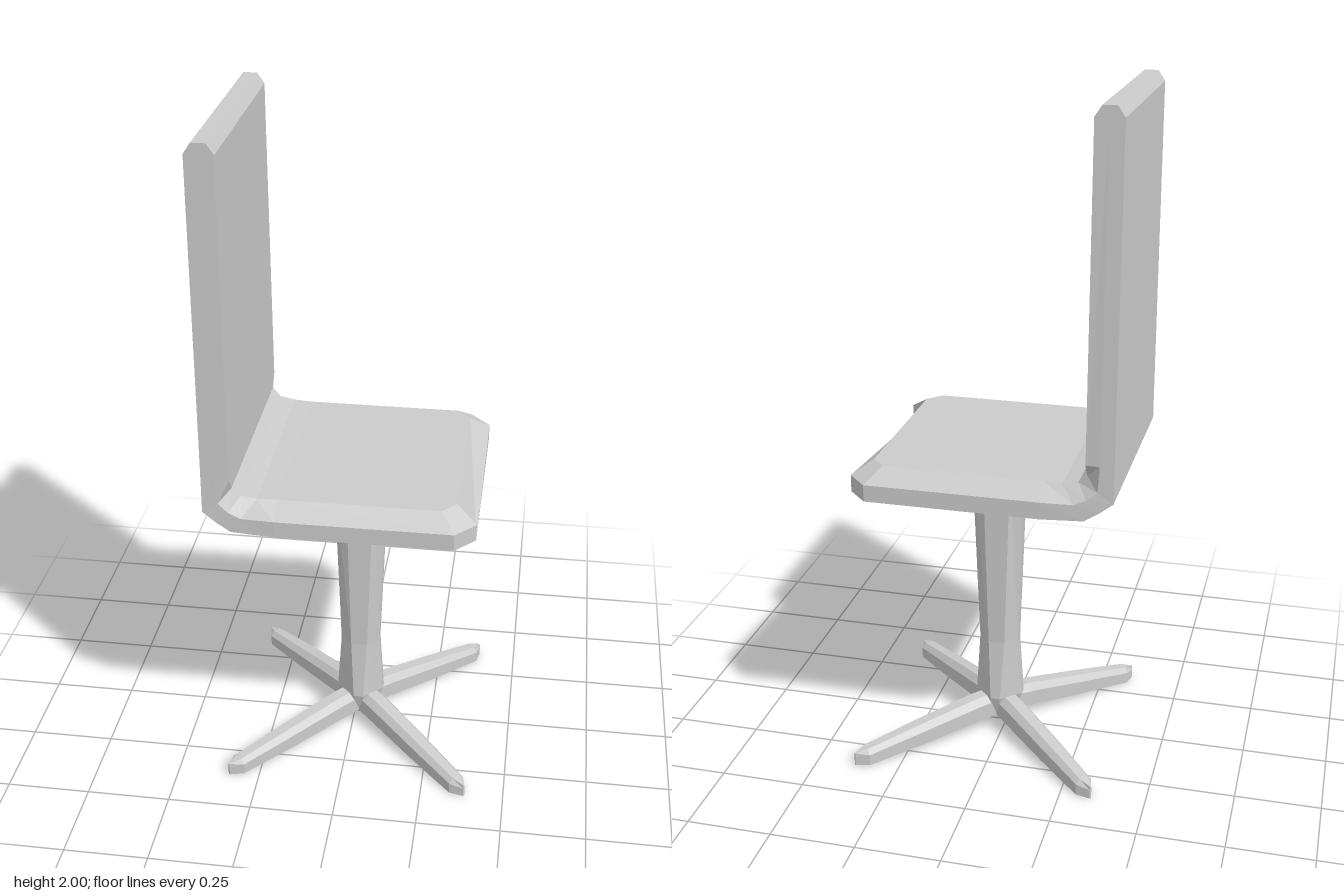
import * as THREE from 'three';

const material = new THREE.MeshStandardMaterial({ color: 0xcccccc, flatShading: true });

// Skins a row of equal-length rings of [x, y, z] points and caps both ends
function loft(name, rings) {
  const n = rings[0].length;
  const index = [];
  for (let r = 0; r < rings.length - 1; r++) {
    for (let i = 0; i < n; i++) {
      const a = r * n + i, b = r * n + (i + 1) % n;
      index.push(a, b, b + n, a, b + n, a + n);
    }
  }
  const last = (rings.length - 1) * n;
  for (let i = 1; i < n - 1; i++) {
    index.push(0, i + 1, i, last, last + i, last + i + 1);
  }
  // Turn the faces outward if the enclosed volume comes out negative
  const points = rings.flat().map((p) => new THREE.Vector3(...p));
  let volume = 0;
  for (let i = 0; i < index.length; i += 3) {
    const [a, b, c] = [points[index[i]], points[index[i + 1]], points[index[i + 2]]];
    volume += a.dot(b.clone().cross(c));
  }
  if (volume < 0) index.reverse();

  const indexed = new THREE.BufferGeometry().setFromPoints(points);
  indexed.setIndex(index);
  const geometry = indexed.toNonIndexed();
  geometry.computeVertexNormals();
  const mesh = new THREE.Mesh(geometry, material);
  mesh.name = name;
  return mesh;
}

// Seat that bends up into the backrest: one shell swept from front edge to top edge
function seatAndBackrest() {
  // outer x, y | bevel x, y | inner x, y | half width outer, inner | trim on the -z side
  const stations = [
    [0.383, 0.875, 0.383, 0.925, 0.325, 0.965, 0.30, 0.26, 0],
    [0.325, 0.875, 0.325, 0.925, 0.285, 0.965, 0.362, 0.305, 0],
    [-0.18, 0.875, -0.18, 0.925, -0.18, 0.965, 0.362, 0.305, 0],
    [-0.305, 0.88, -0.275, 0.925, -0.235, 0.966, 0.357, 0.31, 0],
    [-0.345, 0.905, -0.31, 0.94, -0.28, 0.975, 0.354, 0.312, 0],
    [-0.385, 0.935, -0.34, 0.965, -0.305, 1.0, 0.35, 0.318, 0],
    [-0.385, 1.04, -0.345, 1.04, -0.305, 1.04, 0.348, 0.346, 0],
    [-0.385, 1.97, -0.345, 1.97, -0.305, 1.97, 0.345, 0.345, 0.024],
    [-0.365, 2.0, -0.345, 2.0, -0.325, 2.0, 0.345, 0.345, 0.025],
  ];
  return loft('seatAndBackrest', stations.map(([ox, oy, mx, my, ix, iy, w, wi, trim]) => [
    [ox, oy, w], [mx, my, w], [ix, iy, wi],
    [ix, iy, -wi + trim], [mx, my, -w + trim], [ox, oy, -w + trim],
  ]));
}

// Eight-sided post whose narrow faces pinch together between the legs
function column() {
  // y, half depth x, half width z, half size of the faces toward x and z
  const levels = [
    [0.045, 0.05, 0.05, 0.01, 0.01],
    [0.11, 0.073, 0.068, 0.012, 0.015],
    [0.30, 0.06, 0.048, 0.016, 0.025],
    [0.88, 0.08, 0.045, 0.022, 0.042],
  ];
  return loft('column', levels.map(([y, hx, hz, a, b]) => [
    [hx, y, -a], [hx, y, a], [b, y, hz], [-b, y, hz],
    [-hx, y, a], [-hx, y, -a], [-b, y, -hz], [b, y, -hz],
  ]));
}

// Sloping leg with bevelled upper edges and a pointed toe
function leg() {
  // distance from the post, underside y, top y, half width
  const stations = [
    [0, 0.045, 0.115, 0.036],
    [0.10, 0.038, 0.108, 0.036],
    [0.29, 0.018, 0.08, 0.033],
    [0.475, 0.001, 0.05, 0.027],
    [0.512, 0, 0.04, 0.003],
  ];
  return loft('leg', stations.map(([r, low, high, w]) => {
    const shoulder = low + (high - low) * 0.7;
    return [
      [r, low, -w], [r, shoulder, -w], [r, high, -w * 0.5],
      [r, high, w * 0.5], [r, shoulder, w], [r, low, w],
    ];
  }));
}

export function createModel() {
  const model = new THREE.Group();
  model.name = 'chair';
  model.add(seatAndBackrest());

  const base = new THREE.Group();
  base.name = 'pedestalBase';
  base.position.x = 0.02;
  base.add(column());
  for (let i = 0; i < 4; i++) {
    const part = leg();
    part.rotation.y = Math.PI / 4 + i * Math.PI / 2;
    base.add(part);
  }
  model.add(base);
  return model;
}
